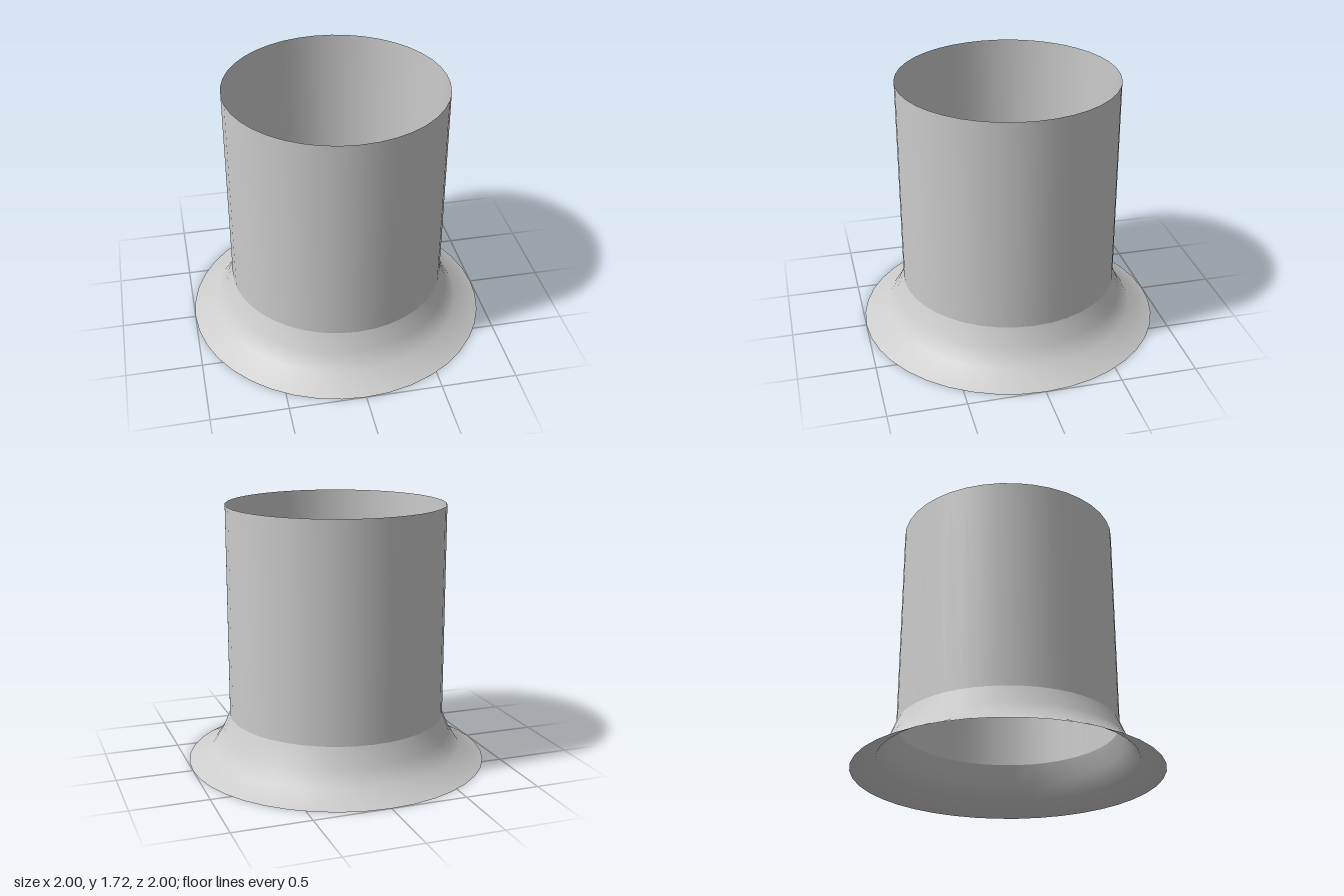
import * as THREE from 'three';

const SIDES = 40;
const RADIUS = 0.72;
const COLLAR_TOP = 0.31;
const HEIGHT = 1.72;

export function createModel() {
  const group = new THREE.Group();
  const material = new THREE.MeshStandardMaterial({ color: 0xcccccc, side: THREE.DoubleSide });

  // Revolves a bottom-to-top profile of [radius, height] points
  const addRevolved = (name, profile) => {
    const points = profile.map(([r, y]) => new THREE.Vector2(r, y));
    const mesh = new THREE.Mesh(new THREE.LatheGeometry(points, SIDES), material);
    mesh.name = name;
    group.add(mesh);
  };

  // Thin open-ended pipe
  addRevolved('pipe', [[RADIUS, COLLAR_TOP], [RADIUS, HEIGHT]]);

  // Concave flared skirt; kept separate for a crisp seam with the pipe
  addRevolved('flaredBase', [[1, 0], [0.84, 0.08], [0.77, 0.19], [RADIUS, COLLAR_TOP]]);

  return group;
}
